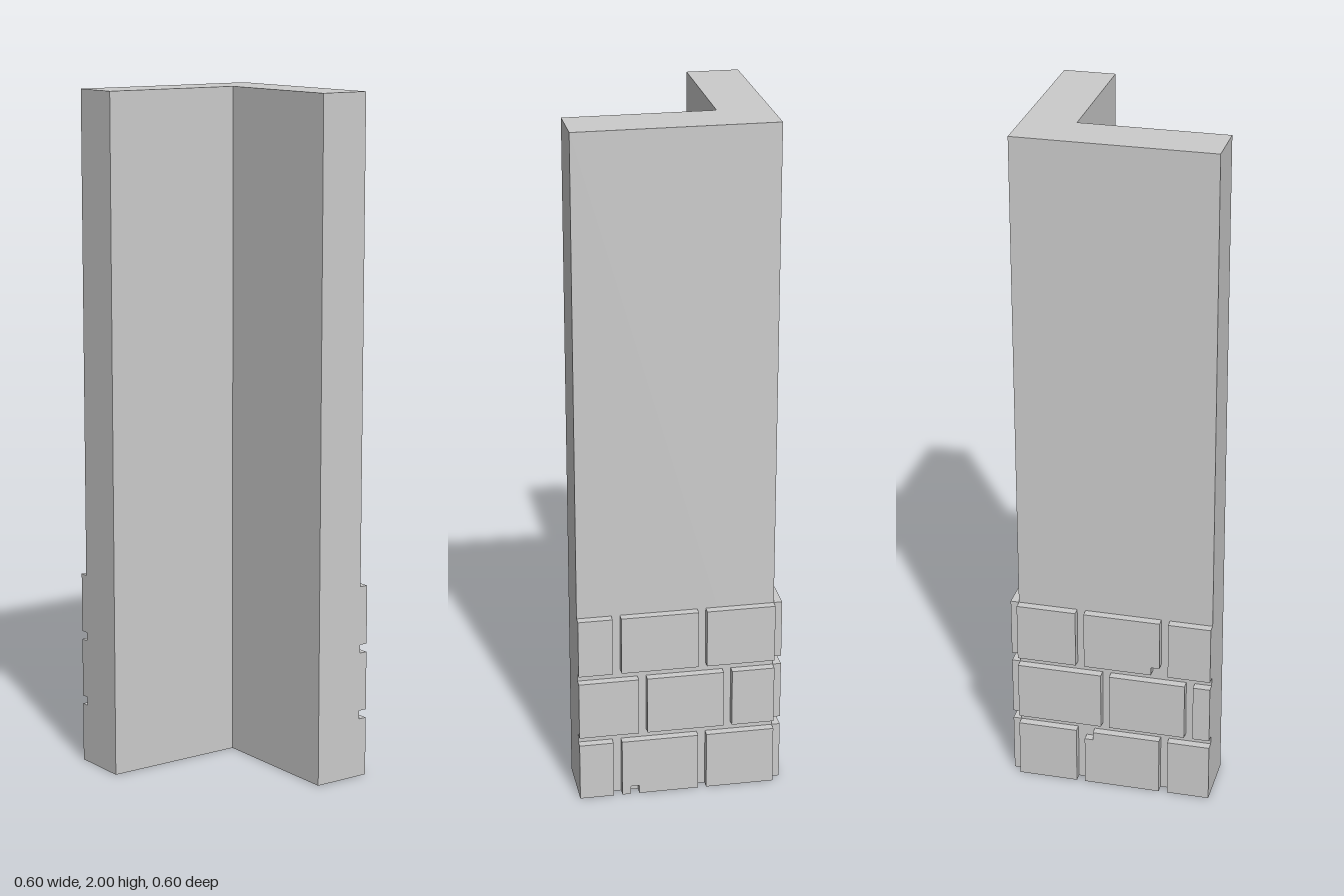
import * as THREE from 'three';

const material = new THREE.MeshStandardMaterial({ color: 0xcccccc, flatShading: true });
const DEPTH = 0.025; // brick relief, also the mortar gap and chip size
const HEIGHT = 0.175; // brick course height

function extrude(points, depth) {
  const shape = new THREE.Shape(points.map(([x, y]) => new THREE.Vector2(x, y)));
  return new THREE.ExtrudeGeometry(shape, { depth, bevelEnabled: false });
}

// Outline of a brick from u0 to u1, with an optional square chip missing
function brickOutline(u0, u1, y0, chip) {
  const y1 = y0 + HEIGHT, c = DEPTH;
  if (chip === 'lowerLeft') return [[u0 + c, y0], [u1, y0], [u1, y1], [u0, y1], [u0, y0 + c], [u0 + c, y0 + c]];
  if (chip === 'upperRight') return [[u0, y0], [u1, y0], [u1, y1 - c], [u1 - c, y1 - c], [u1 - c, y1], [u0, y1]];
  if (chip === 'bottomNotch') {
    const a = u1 - 2 * c, b = u1 - c;
    return [[u0, y0], [a, y0], [a, y0 + c], [b, y0 + c], [b, y0], [u1, y0], [u1, y1], [u0, y1]];
  }
  return [[u0, y0], [u1, y0], [u1, y1], [u0, y1]];
}

// Three staggered courses; each row lists the [start, end] of its bricks
function brickFace(name, rows, chips) {
  const face = new THREE.Group();
  face.name = name;
  rows.forEach((row, r) => row.forEach(([u0, u1], i) => {
    const outline = brickOutline(u0, u1, r * (HEIGHT + DEPTH), chips[`${r},${i}`]);
    const brick = new THREE.Mesh(extrude(outline, DEPTH), material);
    brick.name = 'brick';
    face.add(brick);
  }));
  return face;
}

export function createModel() {
  const model = new THREE.Group();
  model.name = 'cornerWall';

  // L-shaped wall, drawn as (x, -z) and raised upright
  const wallGeometry = extrude([
    [-0.3, 0.275], [-0.3, 0.125], [0.125, 0.125], [0.125, -0.3], [0.275, -0.3], [0.275, 0.275],
  ], 2).rotateX(-Math.PI / 2);
  const wall = new THREE.Mesh(wallGeometry, material);
  wall.name = 'wall';
  model.add(wall);

  // Bricks on the back face, measured along x
  const backEven = [[-0.3, -0.175], [-0.15, 0.075], [0.1, 0.275]];
  const backOdd = [[-0.3, -0.25], [-0.225, 0], [0.025, 0.275]];
  const back = brickFace('backBricks', [backEven, backOdd, backEven],
    { '0,1': 'upperRight', '2,1': 'lowerLeft' });
  back.position.z = -0.3;
  model.add(back);

  // Bricks on the +x face, measured along z
  const sideEven = [[-0.275, -0.075], [-0.05, 0.175], [0.2, 0.3]];
  const sideOdd = [[-0.275, -0.15], [-0.125, 0.1], [0.125, 0.3]];
  const side = brickFace('sideBricks', [sideEven, sideOdd, sideEven], { '0,1': 'bottomNotch' });
  side.rotation.y = -Math.PI / 2;
  side.position.x = 0.3;
  model.add(side);

  return model;
}
